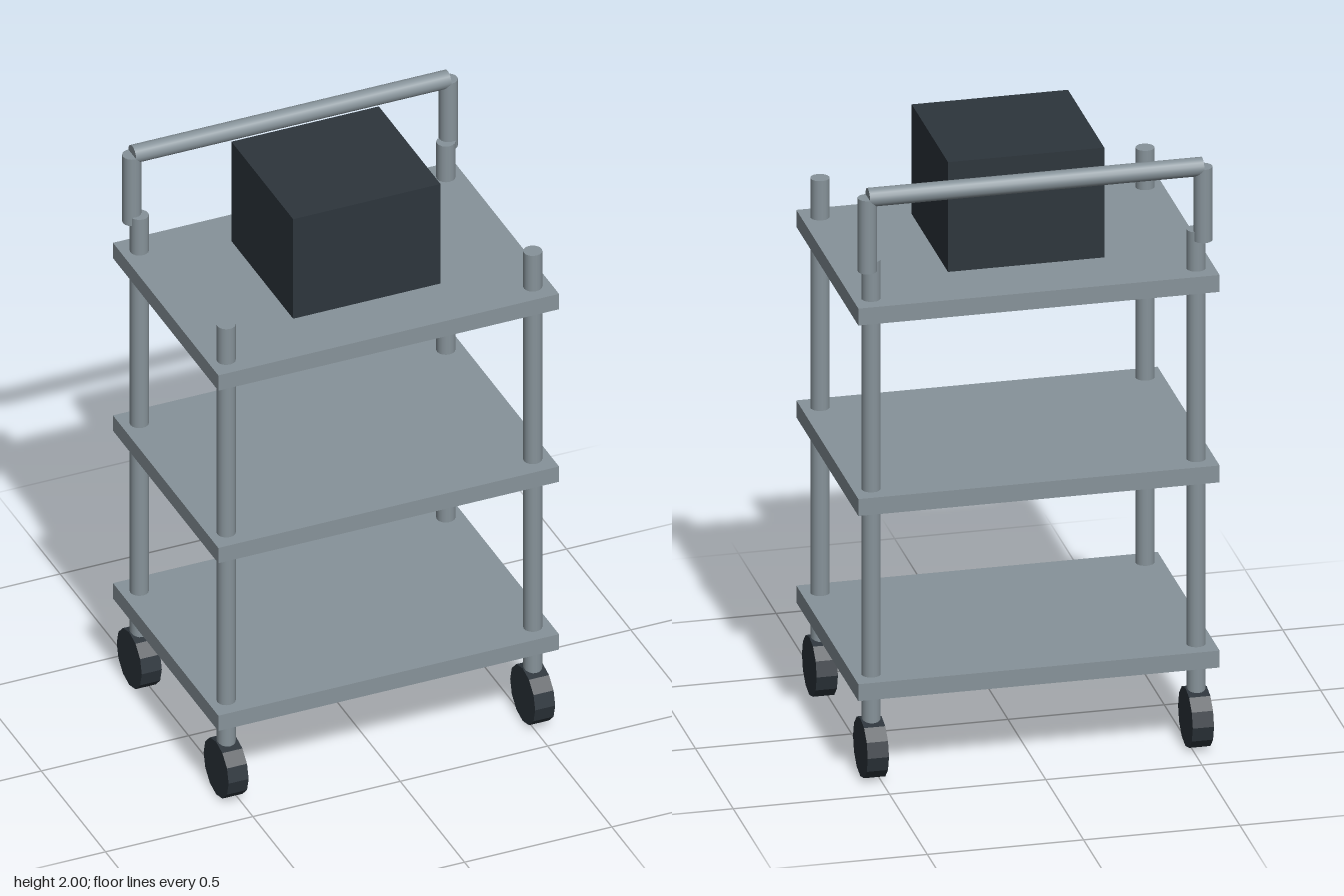
import * as THREE from 'three';

const steel = new THREE.MeshStandardMaterial({ name: 'steelGrey', color: 0x87939a });
const dark = new THREE.MeshStandardMaterial({ name: 'darkSlate', color: 0x2d353c });
const tyre = dark.clone();
tyre.flatShading = true;

export function createModel() {
  const cart = new THREE.Group();
  cart.name = 'trolley';

  function add(name, geometry, material, x, y, z) {
    const mesh = new THREE.Mesh(geometry, material);
    mesh.name = name;
    mesh.position.set(x, y, z);
    cart.add(mesh);
    return mesh;
  }
  const tube = (length) => new THREE.CylinderGeometry(0.03, 0.03, length, 16);

  // Three shelves
  const shelf = new THREE.BoxGeometry(1.156, 0.057, 0.82);
  [['bottomShelf', 0.313], ['middleShelf', 0.937], ['topShelf', 1.579]]
    .forEach(([name, y]) => add(name, shelf, steel, 0, y, 0));

  // Corner posts and their wheels
  const post = tube(1.59);
  const wheel = new THREE.CylinderGeometry(0.0975, 0.0975, 0.068, 12).rotateZ(Math.PI / 2);
  for (const x of [-0.52, 0.52]) {
    for (const z of [-0.338, 0.338]) {
      add('post', post, steel, x, 0.945, z);
      add('wheel', wheel, tyre, x, 0.0975, z);
    }
  }

  // Push handle: two uprights and a crossbar at the back
  for (const x of [-0.537, 0.537]) add('handleUpright', tube(0.247), steel, x, 1.833, -0.358);
  add('handleBar', tube(1.07).rotateZ(Math.PI / 2), steel, 0, 1.957, -0.358);

  // Equipment box, held just above the top shelf
  add('equipmentBox', new THREE.BoxGeometry(0.5, 0.37, 0.48), dark, 0, 1.815, 0);

  return cart;
}
